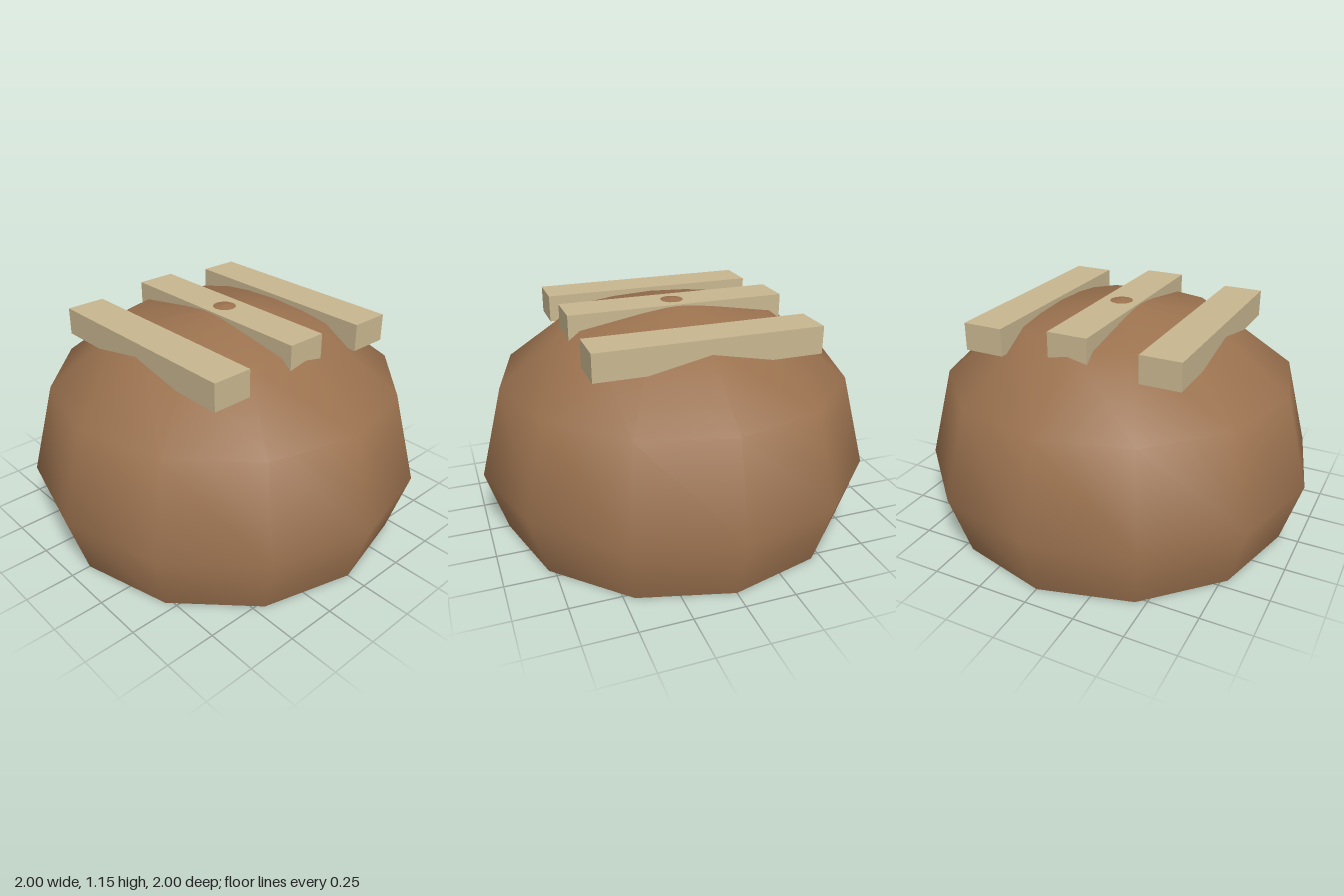
import * as THREE from 'three';

export function createModel() {
  const model = new THREE.Group();
  const brown = new THREE.MeshStandardMaterial({ name: 'brown', color: 0x9b724f });
  const tan = new THREE.MeshStandardMaterial({ name: 'tan', color: 0xc8b690 });

  const add = (name, geometry, material, x, y, z) => {
    const mesh = new THREE.Mesh(geometry, material);
    mesh.name = name;
    mesh.position.set(x, y, z);
    model.add(mesh);
    return mesh;
  };

  // Rounded twelve-sided body, profile from base to crown
  const profile = [[0.9, 0], [1, 0.325], [0.88, 0.784], [0.52, 1.06], [0, 1.15]]
    .map(([r, y]) => new THREE.Vector2(r, y));
  add('body', new THREE.LatheGeometry(profile, 12), brown, 0, 0, 0);

  // Flat underside, with its corners matched to the body
  const base = add('base', new THREE.CircleGeometry(0.9, 12), brown, 0, 0, 0);
  base.rotation.x = Math.PI / 2;

  // Three bars resting across the crown, the middle one slightly higher
  const bar = new THREE.BoxGeometry(1.1, 0.135, 0.2);
  add('frontBar', bar, tan, 0, 1.043, 0.45);
  add('middleBar', bar, tan, 0, 1.0725, 0);
  add('backBar', bar, tan, 0, 1.043, -0.45);

  return model;
}
